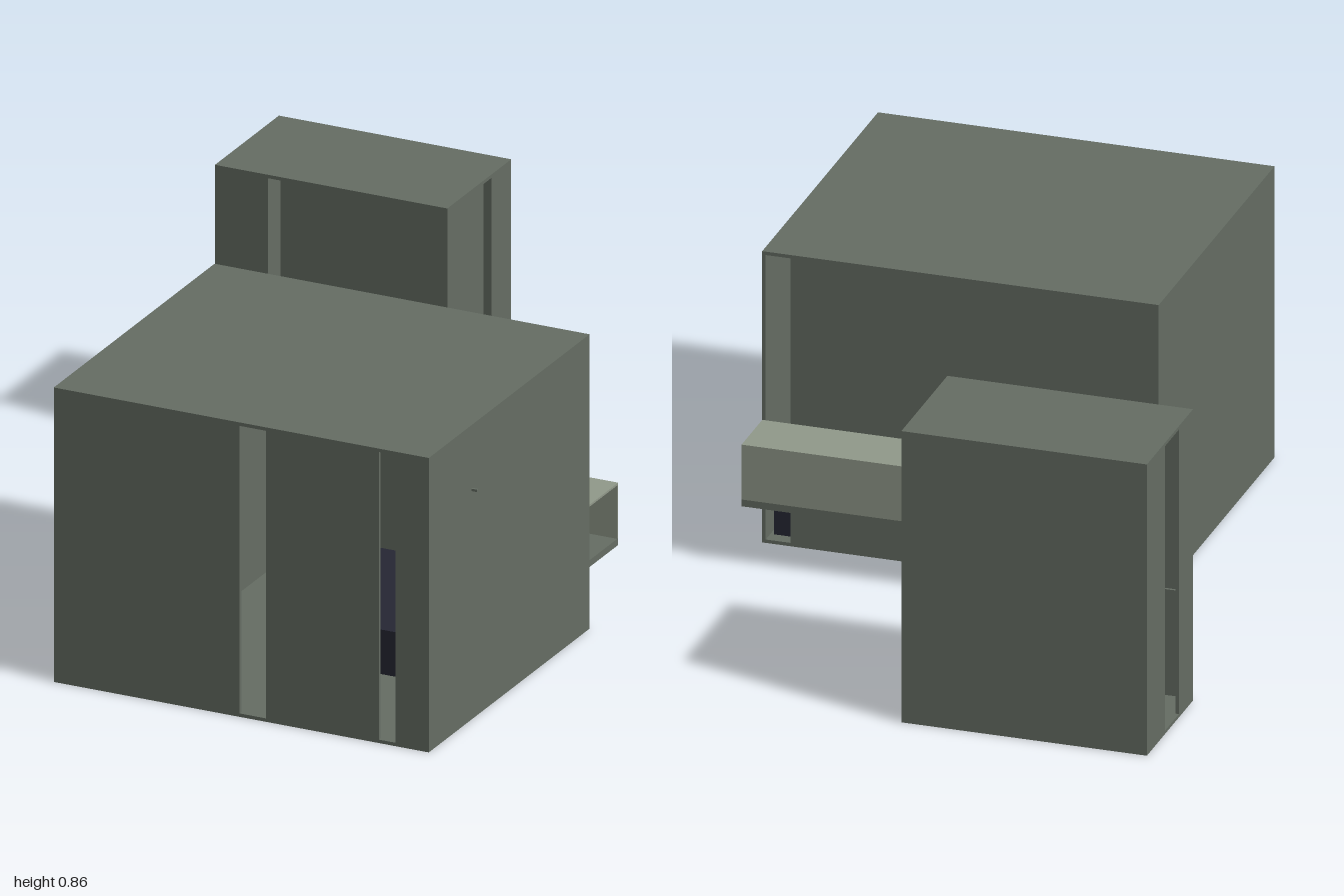
import * as THREE from 'three';

const wallGrey = new THREE.MeshStandardMaterial({ color: 0x666e64 });
wallGrey.name = 'wall grey';
const paleGrey = new THREE.MeshStandardMaterial({ color: 0x929a8b });
paleGrey.name = 'pale panel grey';
const navy = new THREE.MeshStandardMaterial({ color: 0x262734 });
navy.name = 'dark navy';

const T = 0.01; // wall thickness
const H = 0.86; // building height

// Box given by its extents on each axis
function box(parent, name, material, [x0, x1], [y0, y1], [z0, z1]) {
  const mesh = new THREE.Mesh(new THREE.BoxGeometry(x1 - x0, y1 - y0, z1 - z0), material);
  mesh.position.set((x0 + x1) / 2, (y0 + y1) / 2, (z0 + z1) / 2);
  mesh.name = name;
  parent.add(mesh);
}

// Solid stretches left between full-height gaps
function stretches(from, to, gaps) {
  const ends = [from, ...gaps.flat(), to];
  const out = [];
  for (let i = 0; i < ends.length; i += 2) out.push([ends[i], ends[i + 1]]);
  return out;
}

// Thin-walled block with slab floor and roof; gaps are listed per side
function block(name, [x0, x1], [z0, z1], gaps) {
  const g = new THREE.Group();
  g.name = name;
  const y = [T, H - T];
  box(g, 'floor', wallGrey, [x0, x1], [0, T], [z0, z1]);
  box(g, 'roof', wallGrey, [x0, x1], [H - T, H], [z0, z1]);
  for (const s of stretches(x0, x1, gaps.front || [])) box(g, 'frontWall', wallGrey, s, y, [z1 - T, z1]);
  for (const s of stretches(x0, x1, gaps.back || [])) box(g, 'backWall', wallGrey, s, y, [z0, z0 + T]);
  for (const s of stretches(z0 + T, z1 - T, gaps.left || [])) box(g, 'leftWall', wallGrey, [x1 - T, x1], y, s);
  for (const s of stretches(z0 + T, z1 - T, gaps.right || [])) box(g, 'rightWall', wallGrey, [x0, x0 + T], y, s);
  return g;
}

export function createModel() {
  const model = new THREE.Group();
  model.name = 'twoBlockBuilding';

  // Large block with two slots in front and one at the back corner
  const main = block('mainBlock', [-0.42, 0.71], [0.02, 1], {
    front: [[0.14, 0.22], [0.56, 0.61]],
    back: [[0.63, 0.7]],
  });
  box(main, 'partition', wallGrey, [-0.265, -0.24], [T, H - T], [0.03, 0.6]);
  box(main, 'lowPlatform', navy, [0.1, 0.69], [T, 0.14], [0.06, 0.58]);
  model.add(main);

  // Small detached block with a wide entrance and side slots
  const small = block('smallBlock', [-0.73, -0.03], [-1, -0.61], {
    front: [[-0.57, -0.18]],
    left: [[-0.88, -0.83]],
    right: [[-0.845, -0.73]],
  });
  box(small, 'crossBar', wallGrey, [-0.72, -0.18], [0.361, 0.369], [-0.72, -0.712]);
  model.add(small);

  // Open-ended gallery hung on the back wall
  const gallery = new THREE.Group();
  gallery.name = 'backGallery';
  const gx = [-0.2, 0.71];
  box(gallery, 'galleryFloor', wallGrey, gx, [0.18, 0.2], [-0.155, 0.02]);
  box(gallery, 'galleryPanel', paleGrey, gx, [0.2, 0.356], [-0.155, -0.149]);
  box(gallery, 'galleryRoof', paleGrey, gx, [0.356, 0.362], [-0.155, 0.02]);
  model.add(gallery);

  // Small peg on the side wall
  box(model, 'peg', wallGrey, [0.71, 0.727], [0.667, 0.674], [0.732, 0.739]);

  return model;
}
